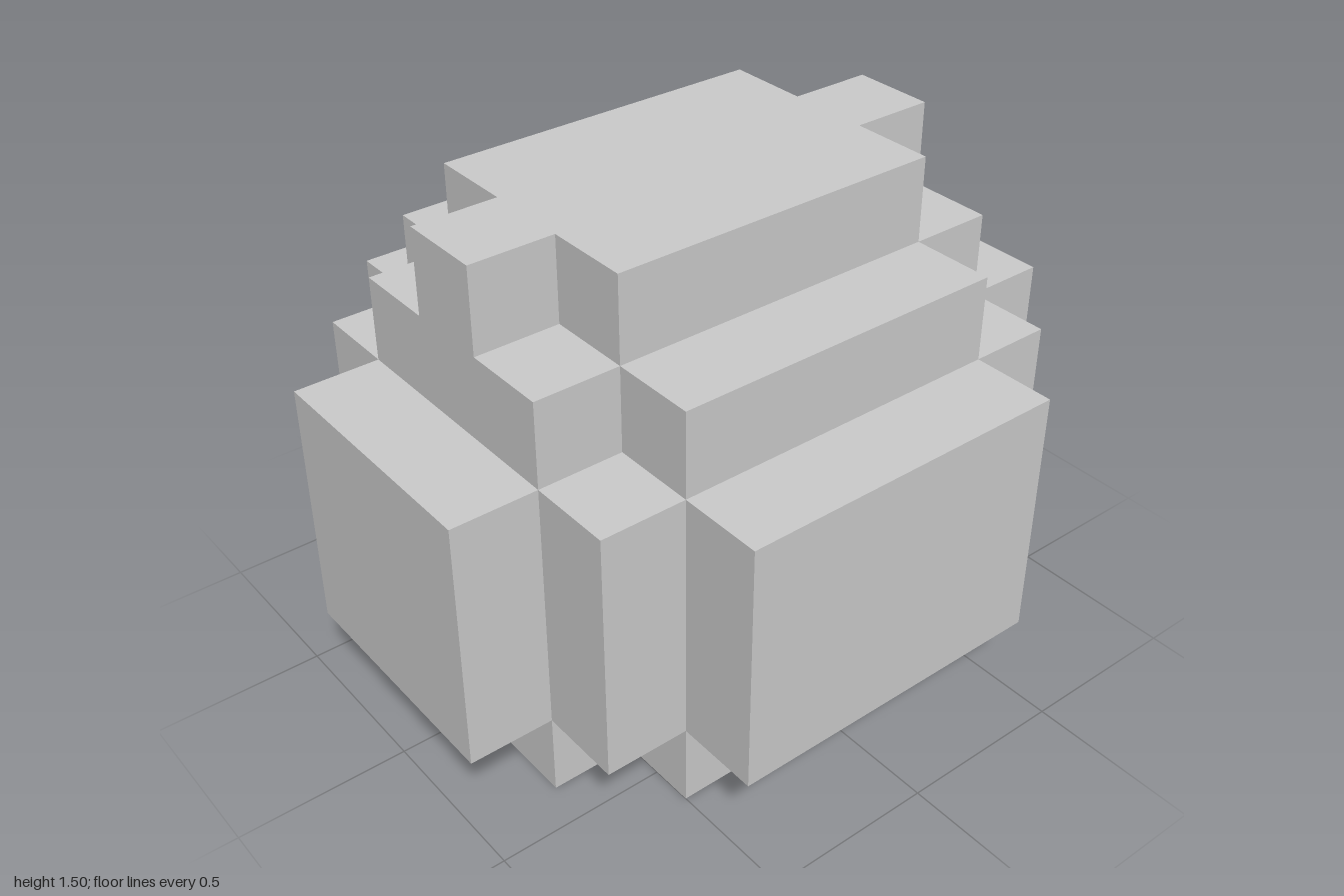
import * as THREE from 'three';

const material = new THREE.MeshStandardMaterial({ color: 0xcccccc, flatShading: true });

// Stepped outline, mirrored from one quarter. Steps are [half width, half depth], widest first.
function steppedShape(steps) {
  const quarter = [];
  steps.forEach(([x, z], i) => {
    if (i > 0) quarter.push([x, steps[i - 1][1]]);
    quarter.push([x, z]);
  });
  const reversed = [...quarter].reverse();
  const outline = [
    ...quarter,
    ...reversed.map(([x, z]) => [-x, z]),
    ...quarter.map(([x, z]) => [-x, -z]),
    ...reversed.map(([x, z]) => [x, -z]),
  ];
  return new THREE.Shape(outline.map(([x, z]) => new THREE.Vector2(x, z)));
}

// One horizontal slab of the blocky body
function layer(name, bottom, top, steps) {
  const geometry = new THREE.ExtrudeGeometry(steppedShape(steps), {
    depth: top - bottom,
    bevelEnabled: false,
  });
  geometry.rotateX(-Math.PI / 2);
  const mesh = new THREE.Mesh(geometry, material);
  mesh.name = name;
  mesh.position.y = bottom;
  return mesh;
}

export function createModel() {
  const model = new THREE.Group();
  model.name = 'blockyBoulder';

  const collar = [[0.75, 0.375], [0.5, 0.625]];
  model.add(
    layer('baseLayer', 0, 0.25, collar),
    layer('middleLayer', 0.25, 1, [[1, 0.375], [0.75, 0.625], [0.5, 0.875]]),
    layer('shoulderLayer', 1, 1.25, collar),
    layer('topLayer', 1.25, 1.5, [[0.75, 0.125], [0.5, 0.375]]),
  );
  return model;
}
